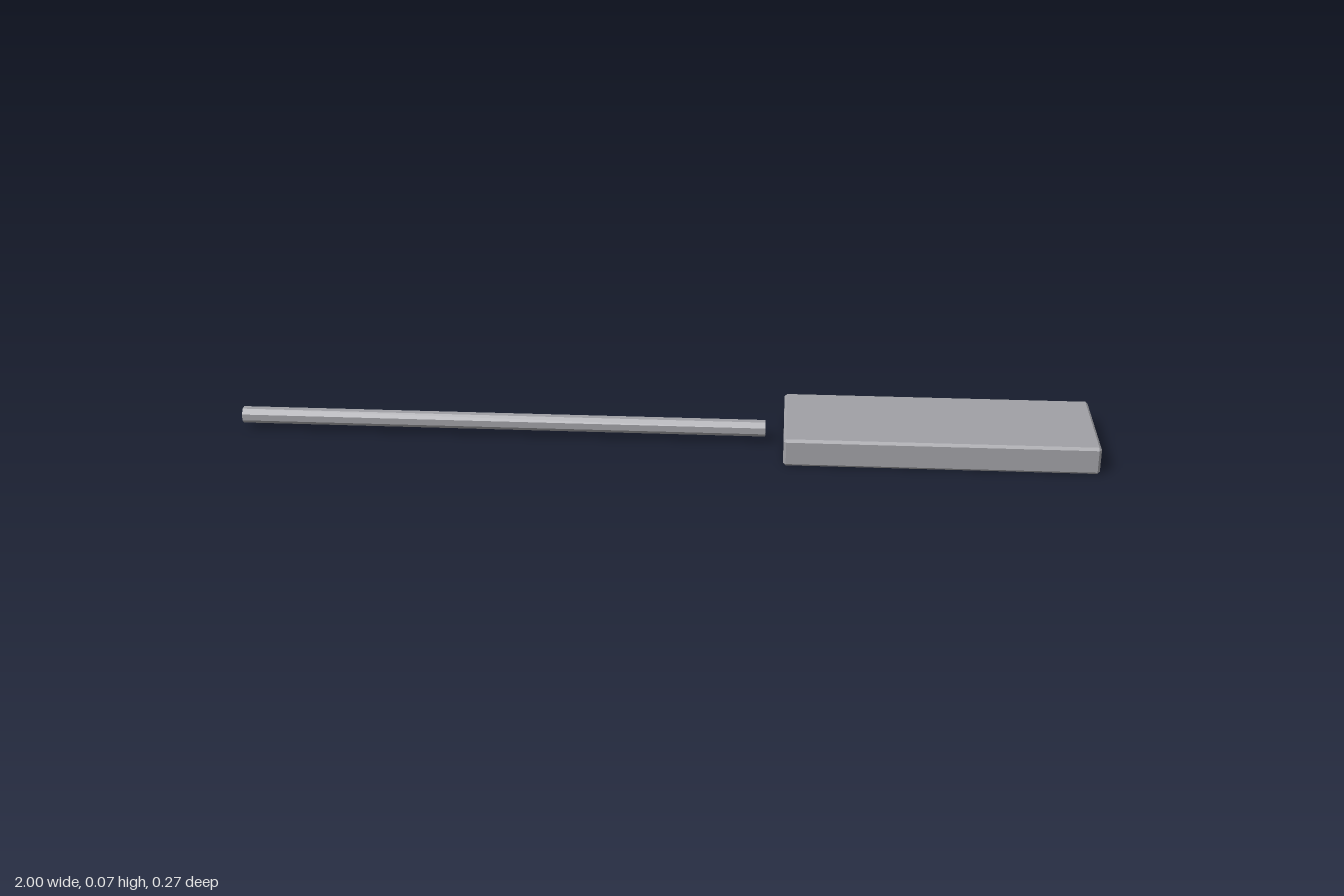
import * as THREE from 'three';
import { ConvexGeometry } from 'three/addons/geometries/ConvexGeometry.js';

// Box with every edge chamfered, centred on the origin
function chamferedBox(w, h, d, c) {
  const points = [];
  for (const sx of [-1, 1]) for (const sy of [-1, 1]) for (const sz of [-1, 1]) {
    for (let full = 0; full < 3; full++) {
      const [x, y, z] = [w, h, d].map((s, i) => s / 2 - (i === full ? 0 : c));
      points.push(new THREE.Vector3(sx * x, sy * y, sz * z));
    }
  }
  return new ConvexGeometry(points);
}

export function createModel() {
  const model = new THREE.Group();
  model.name = 'paddle';
  const grey = new THREE.MeshStandardMaterial({ color: 0xa0a0a5 });
  grey.name = 'grey';

  const height = 0.066;
  const add = (name, geometry, x) => {
    const mesh = new THREE.Mesh(geometry, grey);
    mesh.name = name;
    mesh.position.set(x, height / 2, 0);
    model.add(mesh);
  };

  // Flat chamfered block
  const x0 = 0.282;
  add('block', chamferedBox(1 - x0, height, 0.266, 0.006), (1 + x0) / 2);

  // Thin faceted rod, separated from the block by a small gap
  const rodEnd = 0.239;
  const rod = new THREE.CylinderGeometry(0.0195, 0.0195, 1 + rodEnd, 8).toNonIndexed();
  rod.rotateY(Math.PI / 8);
  rod.rotateZ(Math.PI / 2);
  rod.computeVertexNormals();
  add('rod', rod, (rodEnd - 1) / 2);

  return model;
}
